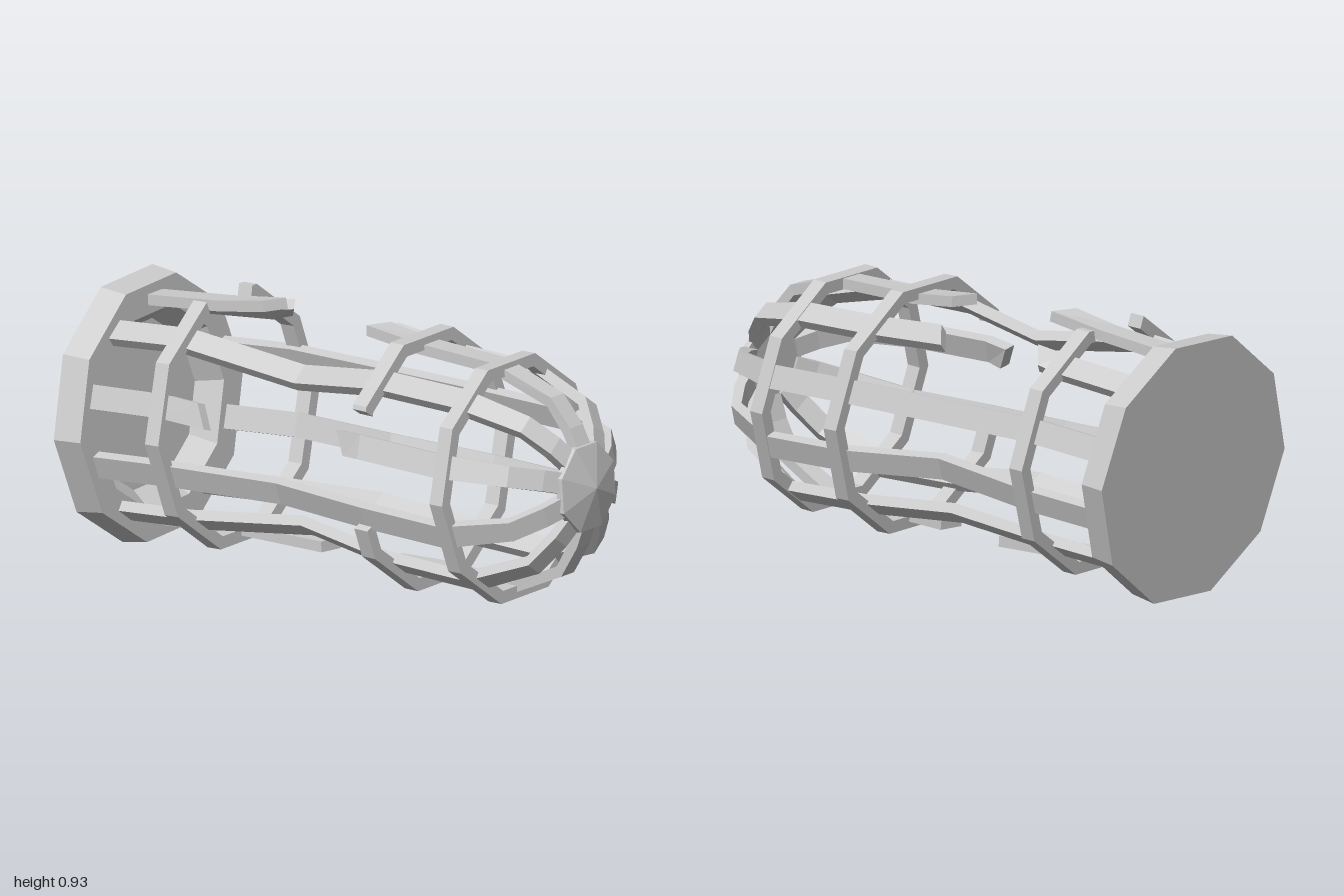
import * as THREE from 'three';

const TILT = 0.07; // the cage leans, so each cross-section is sheared along x
const material = new THREE.MeshStandardMaterial({ color: 0xcccccc, flatShading: true, side: THREE.DoubleSide });

// Slightly crooked centre line: x, y, z
const spine = [
  [-1, 0.452, 0], [-0.87, 0.455, 0], [-0.57, 0.477, -0.01], [0.27, 0.472, -0.02],
  [0.62, 0.463, -0.02], [0.85, 0.482, 0], [0.95, 0.495, 0.003], [1.01, 0.498, 0.003],
];
function centre(x) {
  let i = 0;
  while (i < spine.length - 2 && x > spine[i + 1][0]) i++;
  const [a, b] = [spine[i], spine[i + 1]];
  const t = (x - a[0]) / (b[0] - a[0]);
  return [a[1] + (b[1] - a[1]) * t, a[2] + (b[2] - a[2]) * t];
}

// Point at position x, angle (degrees), radius and sideways offset
function place(x, deg, r, side = 0) {
  const a = THREE.MathUtils.degToRad(deg);
  const dy = r * Math.sin(a) + side * Math.cos(a);
  const dz = -r * Math.cos(a) + side * Math.sin(a);
  const [cy, cz] = centre(x);
  return new THREE.Vector3(x - TILT * dy, cy + dy, cz + dz);
}

// Joins equal-sized sections into a flat-faced solid with end caps
function loft(name, sections, closed = false) {
  const n = sections[0].length, m = sections.length, tris = [];
  for (let i = 0; i < (closed ? m : m - 1); i++) {
    const A = sections[i], B = sections[(i + 1) % m];
    for (let j = 0; j < n; j++) {
      const k = (j + 1) % n;
      tris.push([A[j], B[j], B[k]], [A[j], B[k], A[k]]);
    }
  }
  if (!closed) {
    const A = sections[0], B = sections[m - 1];
    for (let j = 1; j < n - 1; j++) tris.push([A[0], A[j], A[j + 1]], [B[0], B[j + 1], B[j]]);
  }
  // Turn all faces outward using the signed volume
  const volume = tris.reduce((s, [a, b, c]) => s + a.dot(b.clone().cross(c)), 0);
  const points = tris.flatMap(([a, b, c]) => (volume < 0 ? [a, c, b] : [a, b, c]));
  const geometry = new THREE.BufferGeometry().setFromPoints(points);
  geometry.computeVertexNormals();
  const mesh = new THREE.Mesh(geometry, material);
  mesh.name = name;
  return mesh;
}

// Polygonal section around the spine, turned by a few degrees
const polygon = (sides, x, r, turn = 0) =>
  Array.from({ length: sides }, (_, i) => place(x, 90 + turn + (i + 0.5) * 360 / sides, r));

// Flat bar following [x, radius, sideways drift] points, with slanted broken ends
function bar(deg, path, skewStart = 0, skewEnd = 0) {
  const t = 0.019;
  const sections = path.map(([x, r, drift = 0], i) => {
    const p = path[Math.max(i - 1, 0)], q = path[Math.min(i + 1, path.length - 1)];
    const len = Math.hypot(q[0] - p[0], q[1] - p[1]);
    const nx = -(q[1] - p[1]) / len * t, nr = (q[0] - p[0]) / len * t;
    const skew = i === 0 ? skewStart : i === path.length - 1 ? skewEnd : 0;
    const width = x > 0.8 ? 0.036 : 0.042;
    return [[-1, -1], [1, -1], [1, 1], [-1, 1]].map(([s, h]) =>
      place(x + nx * h + skew * s, deg, r + nr * h, drift + s * width));
  });
  return loft('cageBar', sections);
}

// Ten-sided hoop covering the angles from..to
function hoop(x, apothem, from = 72, to = 432) {
  const closed = to - from === 360;
  const angles = [from];
  for (let a = 0; a < 900; a += 36) if (a > from && a < to) angles.push(a);
  if (!closed) angles.push(to);
  const list = closed ? Array.from({ length: 10 }, (_, i) => 72 + 36 * i) : angles;
  const sections = list.map((a) => {
    const off = (((a - 72) % 36) + 36) % 36 - 18;
    const k = 1 / Math.cos(THREE.MathUtils.degToRad(off));
    return [[-1, -0.043], [1, -0.043], [1, 0], [-1, 0]].map(([s, d]) =>
      place(x + s * 0.028, a, (apothem + d) * k));
  });
  return loft('hoop', sections, closed);
}

export function createModel() {
  const model = new THREE.Group();
  model.name = 'brokenCage';

  // Heavy ten-sided base with a tapered recess
  model.add(loft('base', [
    polygon(10, -0.968, 0.476, 2.5), polygon(10, -0.865, 0.462, 2.5),
    polygon(10, -0.865, 0.355, 2.5), polygon(10, -0.945, 0.295, 2.5),
  ]));

  // Hoops, two of them with a piece missing
  model.add(hoop(-0.57, 0.434, 108, 432 + 3));
  model.add(hoop(0.265, 0.432, 202, 360 + 146));
  model.add(hoop(0.62, 0.41));

  // Bars: unbroken ones sag inward at the middle, others have a gap
  const dome = [[0.6, 0.388], [0.84, 0.298], [0.91, 0.2], [0.945, 0.12]];
  const foot = [-0.9, 0.385];
  const sag = { 18: 0.388, 126: 0.315, 198: 0.352, 234: 0.325, 306: 0.35, 342: 0.315 };
  for (const [deg, r] of Object.entries(sag)) {
    model.add(bar(+deg, [foot, [-0.57, 0.388], [-0.12, r], [0.265, 0.385], ...dome]));
  }
  // Broken: angle, end x, radius and drift, restart x, radius and drift, slant
  const broken = [
    [54, -0.47, 0.42, 0, -0.04, 0.415, 0, 0.03],
    [90, -0.36, 0.425, 0, 0.06, 0.41, -0.025, -0.02],
    [162, -0.39, 0.405, 0.01, 0.17, 0.365, 0, 0.02],
    [270, -0.205, 0.398, 0.035, 0.085, 0.395, 0, 0.01],
  ];
  for (const [deg, x1, r1, d1, x2, r2, d2, skew] of broken) {
    model.add(bar(deg, [foot, [-0.57, 0.393, d1 * 0.5], [x1, r1, d1]], 0, skew));
    model.add(bar(deg, [[x2, r2, d2], [0.265, 0.388, d2 * 0.6], ...dome], skew));
  }

  // Eight-sided pointed cap
  model.add(loft('cap', [
    polygon(8, 0.94, 0.16), polygon(8, 0.965, 0.158), polygon(8, 1.0, 0.002),
  ]));
  return model;
}
